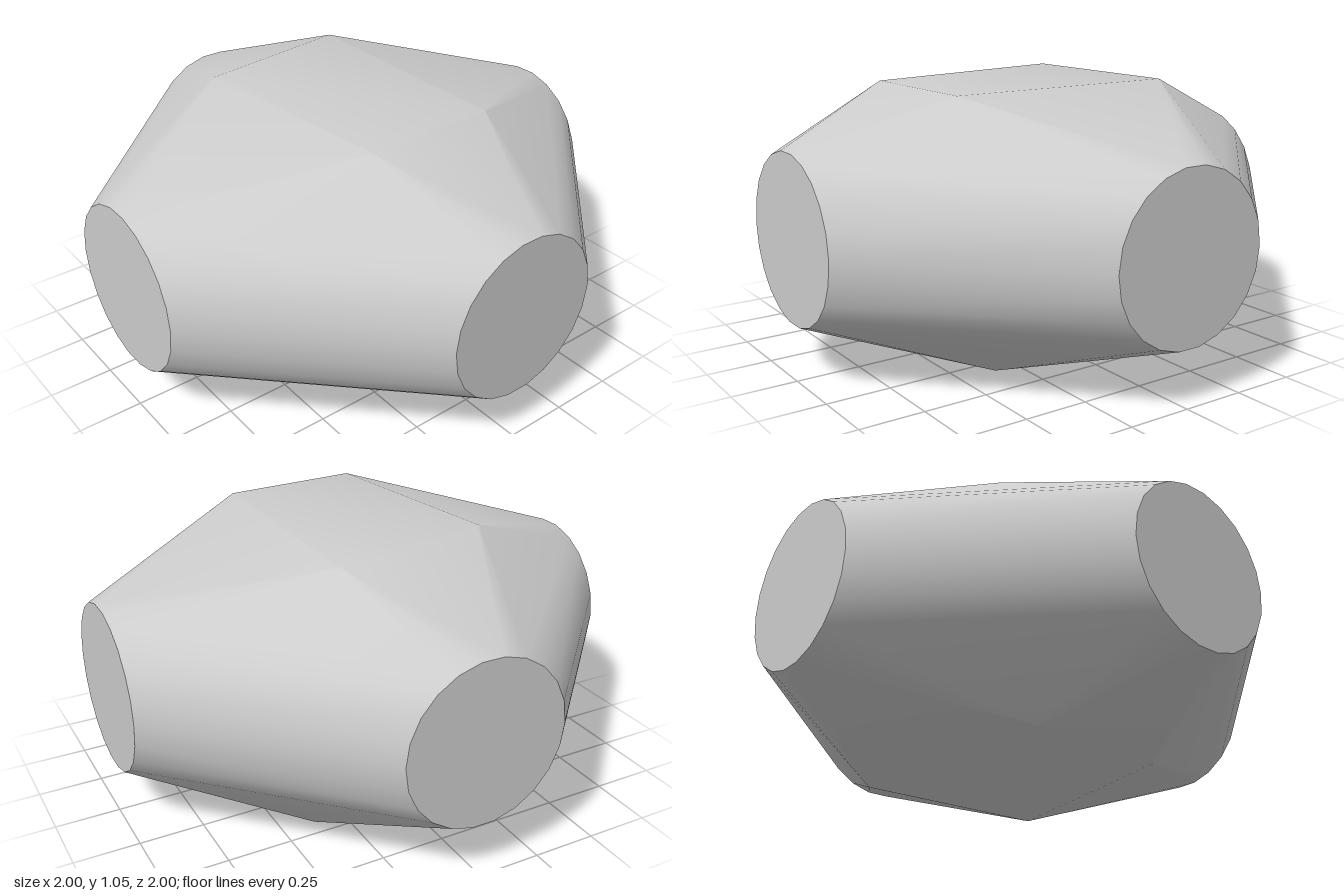
import * as THREE from 'three';
import { toCreasedNormals } from 'three/addons/utils/BufferGeometryUtils.js';
import { ConvexGeometry } from 'three/addons/geometries/ConvexGeometry.js';

export function createModel() {
  const group = new THREE.Group();
  group.name = 'facetedHub';
  const grey = new THREE.MeshStandardMaterial({ color: 0xcccccc });
  grey.name = 'light grey';

  // Corners of the nearly flat top and bottom
  const points = [
    [-0.37, 1.055, 0.36], [0.49, 1.045, 0.26], [0.47, 1.04, -0.28], [-0.48, 1.04, -0.28],
    [-0.32, 0.02, 0.5], [0.26, 0.02, 0.48], [0.36, 0.01, -0.35], [-0.43, 0, -0.37],
  ].map((p) => new THREE.Vector3(...p));

  // Four round end faces, one on each side
  const sides = 22, radius = 0.32, centreY = 0.535;
  for (let i = 0; i < sides; i++) {
    const a = (i / sides) * Math.PI * 2;
    const u = radius * Math.cos(a), y = centreY + radius * Math.sin(a);
    for (const s of [-1, 1]) {
      points.push(new THREE.Vector3(u, y, s), new THREE.Vector3(s, y, u));
    }
  }

  // Convex skin around the end faces and corners, soft except at the rims
  const body = new THREE.Mesh(toCreasedNormals(new ConvexGeometry(points), 0.4), grey);
  body.name = 'body';
  group.add(body);
  return group;
}
